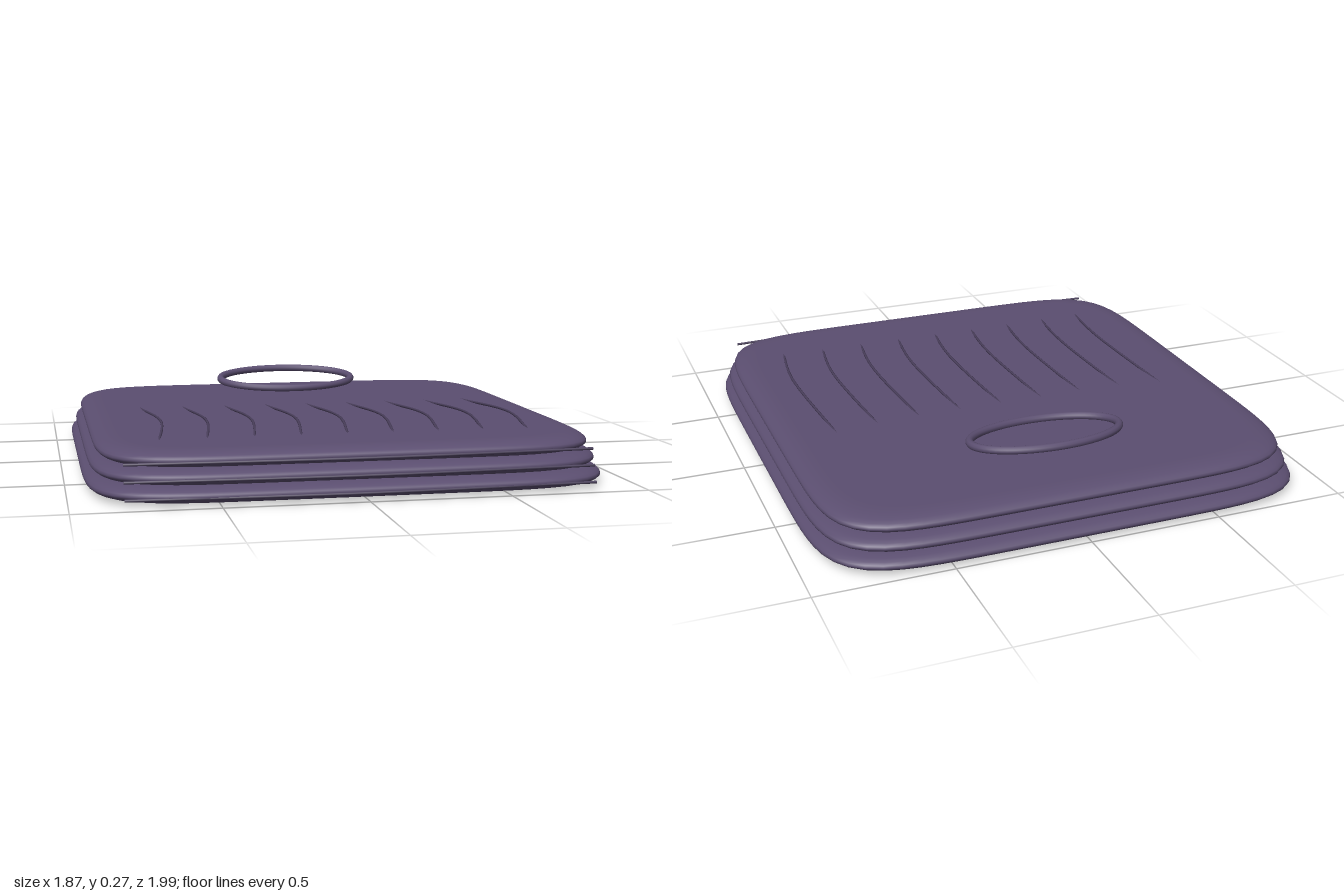
import * as THREE from 'three';

// Pillow-like slab: superellipse outline swept along a rounded edge profile
function padGeometry(halfX, halfZ, halfY, edge) {
  const seg = 128, n = 7, arc = 12;
  const profile = [[0, -1], [0.5, -1]];
  for (let i = 0; i <= arc; i++) {
    const a = -Math.PI / 2 + (Math.PI * i) / arc;
    profile.push([1, Math.sin(a) * 0.94, edge * (1 - Math.cos(a))]);
  }
  profile.push([0.6, 1], [0, 1]);
  const pos = [], index = [];
  profile.forEach(([scale, y, inset = edge]) => {
    for (let j = 0; j < seg; j++) {
      const t = (j / seg) * Math.PI * 2, c = Math.cos(t), s = Math.sin(t);
      const r = scale / Math.pow(Math.abs(c) ** n + Math.abs(s) ** n, 1 / n);
      pos.push((halfX - inset) * r * c, y * halfY, (halfZ - inset) * r * s);
    }
  });
  for (let i = 0; i < profile.length - 1; i++) {
    for (let j = 0; j < seg; j++) {
      const k = (j + 1) % seg;
      const a = i * seg + j, b = a + seg, c = i * seg + k, d = c + seg;
      if (i > 0) index.push(a, b, c);
      else index.push(a, b, d);
      if (i > 0 && i < profile.length - 2) index.push(b, d, c);
    }
  }
  const g = new THREE.BufferGeometry();
  g.setAttribute('position', new THREE.Float32BufferAttribute(pos, 3));
  g.setIndex(index);
  g.computeVertexNormals();
  return g;
}

export function createModel() {
  const model = new THREE.Group();
  const fabric = new THREE.MeshStandardMaterial({ color: 0x5b4e70 });
  fabric.name = 'purple fabric';
  const thread = new THREE.MeshStandardMaterial({ color: 0x4a3f5c });
  thread.name = 'dark purple seam';

  const add = (name, geometry, material) => {
    const mesh = new THREE.Mesh(geometry, material);
    mesh.name = name;
    model.add(mesh);
    return mesh;
  };
  const cord = (name, points, radius) => {
    const curve = new THREE.CatmullRomCurve3(points.map((p) => new THREE.Vector3(...p)));
    return add(name, new THREE.TubeGeometry(curve, 24, radius, 6), thread);
  };

  // Three stacked layers, each with a bowed seam along its front edge
  const layers = [
    { x: 0.937, z: 0.99, y: 0.034, seam: 0.992 },
    { x: 0.918, z: 0.965, y: 0.09, seam: 0.97 },
    { x: 0.897, z: 0.937, y: 0.146, seam: 0.95 },
  ];
  layers.forEach(({ x, z, y, seam }, i) => {
    add(`layer${i + 1}`, padGeometry(x, z, 0.033, 0.09), fabric).position.set(0, y, -0.007);
    cord(`frontSeam${i + 1}`, [[-0.82, y - 0.004, seam - 0.03], [0, y - 0.004, seam], [0.82, y - 0.004, seam - 0.03]], 0.005);
  });

  // Curved ribs across the top layer
  for (let i = -4; i <= 4; i++) {
    const x = i * 0.169;
    cord('topRib', [[x, 0.172, -0.21], [x + 0.04, 0.192, 0.33], [x, 0.172, 0.66]], 0.005);
  }

  // Tilted oval ring floating over the back
  class Oval extends THREE.Curve {
    getPoint(t, target = new THREE.Vector3()) {
      const a = t * Math.PI * 2;
      return target.set(0.288 * Math.cos(a), 0, 0.172 * Math.sin(a));
    }
  }
  const ring = add('ovalRing', new THREE.TubeGeometry(new Oval(), 72, 0.015, 10, true), fabric);
  ring.position.set(0, 0.235, -0.577);
  ring.rotation.x = 0.14;

  return model;
}
